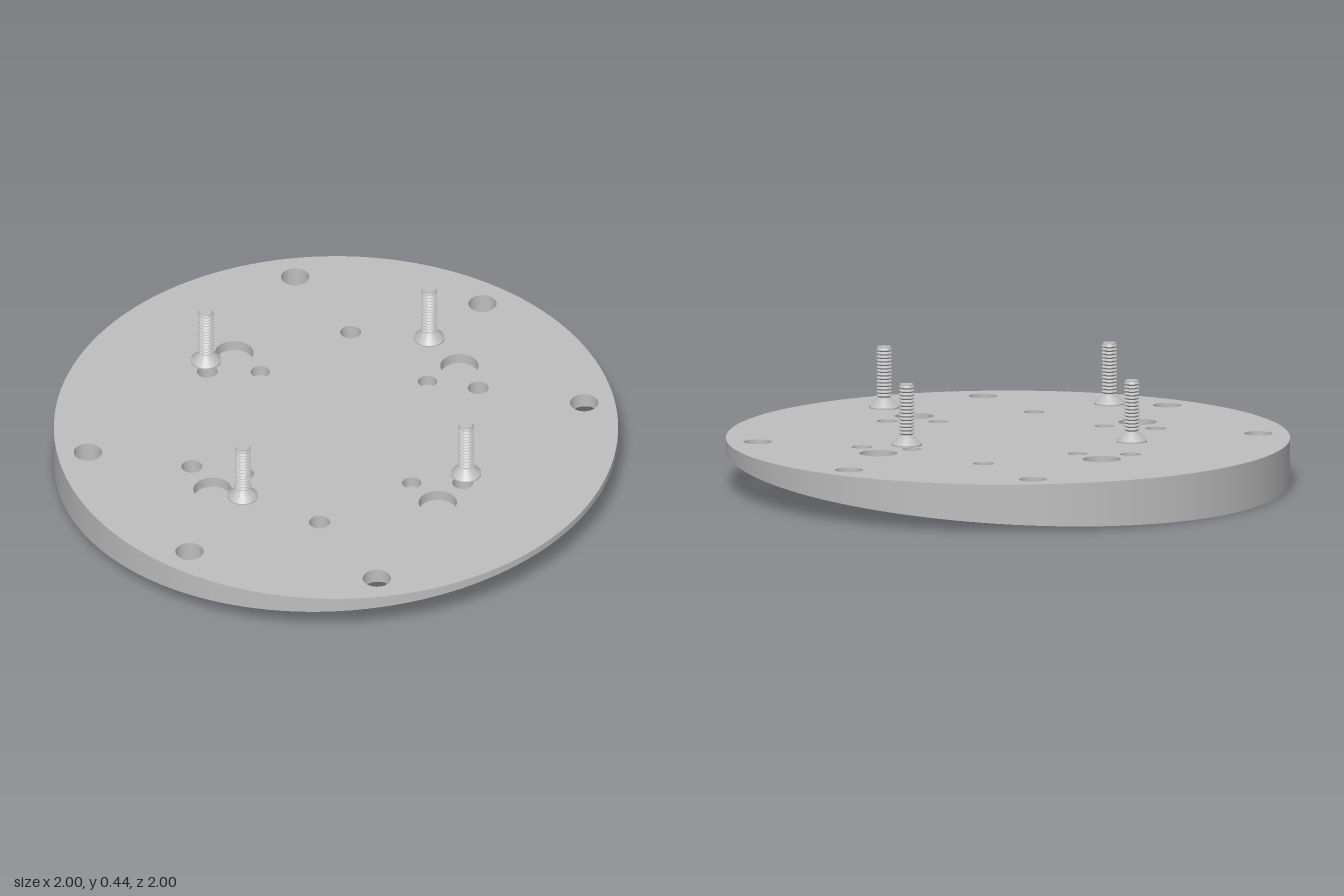
import * as THREE from 'three';
import { toCreasedNormals } from 'three/addons/utils/BufferGeometryUtils.js';

const TOP = 0.17;
const SLOPE = 0.0725;
const BLIND_DEPTH = 0.04;
const bottomY = (x) => SLOPE * (1 + x);

const steel = new THREE.MeshStandardMaterial({ color: 0xbebebe, side: THREE.DoubleSide });
steel.name = 'steel grey';

function add(group, name, geometry) {
  const mesh = new THREE.Mesh(geometry, steel);
  mesh.name = name;
  group.add(mesh);
  return mesh;
}

function circlePoints(x, y, r, n) {
  return Array.from({ length: n }, (_, i) => {
    const a = (i / n) * Math.PI * 2;
    return new THREE.Vector2(x + r * Math.cos(a), y + r * Math.sin(a));
  });
}

// Flat disc of radius 1 pierced by the given holes, in shape coordinates
function piercedDisc(holes) {
  const shape = new THREE.Shape(circlePoints(0, 0, 1, 128));
  for (const [x, y, r] of holes) shape.holes.push(new THREE.Path(circlePoints(x, y, r, 32)));
  return new THREE.ShapeGeometry(shape);
}

// Upright wall from the top face to the sloping underside; shift leans it along x
function wedgeWall(x, z, r, n, shift = 0) {
  const geo = new THREE.CylinderGeometry(r, r, 1, n, 1, true);
  const p = geo.attributes.position;
  for (let i = 0; i < p.count; i++) {
    const low = p.getY(i) < 0;
    const px = p.getX(i) + x + (low ? shift : 0);
    p.setXYZ(i, px, low ? bottomY(px) : TOP, p.getZ(i) + z);
  }
  return geo;
}

// Countersunk screw standing on its head
function screwGeometry() {
  const profile = [[0, 0.217], [0.054, 0.217], [0.054, 0.222], [0.028, 0.248], [0.021, 0.254]];
  const turns = 14, start = 0.256, pitch = 0.0126;
  for (let i = 0; i < turns; i++) {
    const y = start + i * pitch;
    profile.push([0.021, y], [0.028, y + pitch * 0.4], [0.028, y + pitch * 0.55]);
  }
  profile.push([0.024, 0.434], [0.024, 0.437], [0, 0.437]);
  const points = profile.map(([r, y]) => new THREE.Vector2(r, y));
  return toCreasedNormals(new THREE.LatheGeometry(points, 32), 0.5);
}

export function createModel() {
  const model = new THREE.Group();
  model.name = 'wedgePlateWithScrews';
  const plate = new THREE.Group();
  plate.name = 'wedgePlate';
  model.add(plate);

  // Hole layout: [x, z, radius, lean]
  const through = [[0, 0.89, 0.05, 0], [0, -0.89, 0.05, 0]];
  for (const sx of [-1, 1]) for (const sz of [-1, 1]) through.push([sx * 0.63, sz * 0.63, 0.05, 0]);
  for (let i = 0; i < 6; i++) {
    const a = (i * Math.PI) / 3;
    const x = 0.557 * Math.cos(a) - 0.004;
    through.push([x, 0.557 * Math.sin(a), 0.037, SLOPE * (TOP - bottomY(x))]);
  }
  const blind = [];
  for (let i = 0; i < 4; i++) {
    const c = Math.round(Math.cos((i * Math.PI) / 2)), s = Math.round(Math.sin((i * Math.PI) / 2));
    for (const [x, z, r] of [[0.548, 0.145, 0.068], [0.407, 0.107, 0.034]]) {
      blind.push([x * c - z * s, x * s + z * c, r]);
    }
  }

  // Top face with every hole
  const top = piercedDisc([...through, ...blind].map(([x, z, r]) => [x, -z, r]));
  add(plate, 'topFace', top.rotateX(-Math.PI / 2).translate(0, TOP, 0));

  // Sloping underside with the through holes only
  const under = piercedDisc(through.map(([x, z, r, lean]) => [x + lean, z, r]));
  under.rotateX(Math.PI / 2);
  const p = under.attributes.position;
  for (let i = 0; i < p.count; i++) p.setY(i, bottomY(p.getX(i)));
  under.computeVertexNormals();
  add(plate, 'underside', under);

  // Rim and hole walls
  add(plate, 'rim', wedgeWall(0, 0, 1, 128));
  for (const [x, z, r, lean] of through) add(plate, 'throughHole', wedgeWall(x, z, r, 32, lean));

  // Blind holes with flat floors
  for (const [x, z, r] of blind) {
    const wall = new THREE.CylinderGeometry(r, r, BLIND_DEPTH, 32, 1, true);
    add(plate, 'blindHoleWall', wall.translate(x, TOP - BLIND_DEPTH / 2, z));
    const floor = new THREE.CircleGeometry(r, 32).rotateX(-Math.PI / 2);
    add(plate, 'blindHoleFloor', floor.translate(x, TOP - BLIND_DEPTH, z));
  }

  // Four screws floating above the plate
  const screw = screwGeometry();
  for (const [x, z] of [[1, 0], [-1, 0], [0, 1], [0, -1]]) {
    add(model, 'screw', screw).position.set(x * 0.567, 0, z * 0.567);
  }
  return model;
}
